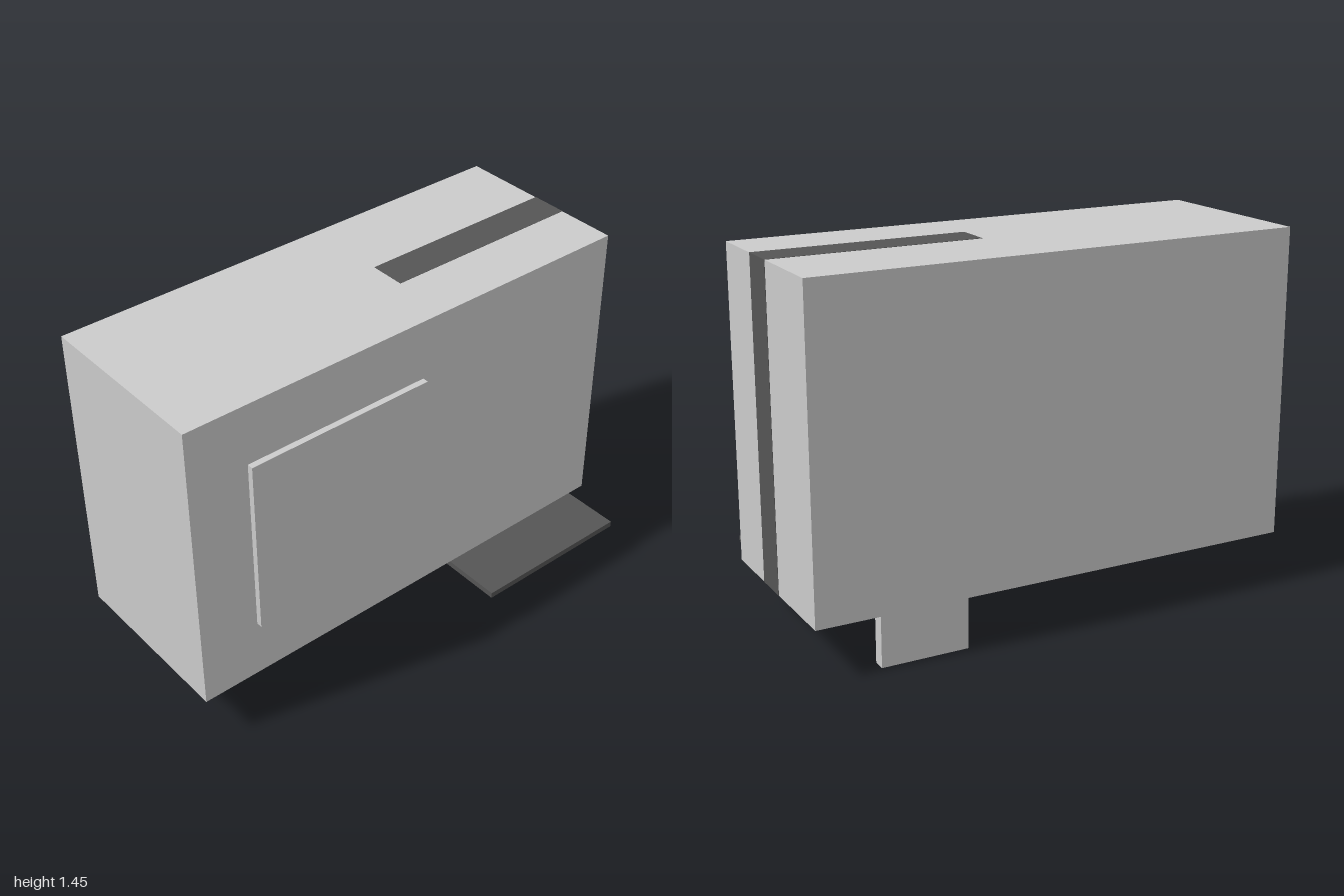
import * as THREE from 'three';

const grey = new THREE.MeshStandardMaterial({ color: 0xcccccc });
const dark = new THREE.MeshStandardMaterial({ color: 0x555555 });
const blue = new THREE.MeshStandardMaterial({ color: 0x1199ee });

// Box given by its min and max on each axis
function box(name, [x0, x1], [y0, y1], [z0, z1], material = grey) {
  const mesh = new THREE.Mesh(new THREE.BoxGeometry(x1 - x0, y1 - y0, z1 - z0), material);
  mesh.position.set((x0 + x1) / 2, (y0 + y1) / 2, (z0 + z1) / 2);
  mesh.name = name;
  return mesh;
}

const points = (list) => list.map(([x, y]) => new THREE.Vector2(x, y));

// Extrudes a floor-plan shape (x, z) downwards from the height top
function slab(name, shape, top, depth, material, turn = 0) {
  const geometry = new THREE.ExtrudeGeometry(shape, { depth, bevelEnabled: false });
  geometry.rotateZ(turn).rotateX(Math.PI / 2);
  const mesh = new THREE.Mesh(geometry, material);
  mesh.position.y = top;
  mesh.name = name;
  return mesh;
}

export function createModel() {
  const model = new THREE.Group();
  model.name = 'machine';

  // Housing with a deep compartment open to the underside
  const plan = new THREE.Shape(points([[-1, -0.5], [1, -0.5], [1, 0.25], [-1, 0.25]]));
  plan.holes.push(new THREE.Path(points([[-0.85, -0.475], [-0.85, 0], [0.15, 0], [0.15, -0.475]])));
  const housing = new THREE.Group();
  housing.name = 'housing';
  housing.add(
    slab('housingWalls', plan, 1.3, 1.1, grey),
    box('housingTop', [-1, 1], [1.3, 1.45], [-0.5, 0.25]),
  );
  model.add(housing);

  // Raised panel on the front
  model.add(box('frontPanel', [-0.75, 0.05], [0.45, 1.2], [0.25, 0.275]));

  // Dark slot running over the top and down the side
  model.add(
    box('topSlot', [0.15, 1.001], [1.44, 1.451], [-0.15, 0], dark),
    box('sideSlot', [0.99, 1.001], [0.2, 1.451], [-0.15, 0], dark),
  );

  // Two plates hanging below, with the dark outlet between them
  model.add(
    box('backPlate', [0.4, 0.75], [0, 0.2], [-0.5, -0.45]),
    box('middlePlate', [0.4, 0.75], [0, 0.2], [-0.025, 0]),
    box('outlet', [0.45, 0.7], [0.199, 0.21], [-0.45, -0.025], dark),
  );

  // Tray under the front edge
  model.add(box('tray', [0.225, 0.92], [0.175, 0.2], [0.15, 0.5], dark));

  // Open-ended spanner under the tray: one half of the outline, then mirrored
  const half = [
    [-0.34, 0.035], [-0.075, 0.035], [-0.04, 0.07], [0.025, 0.08], [0.08, 0.05],
    [0.07, 0.038], [0.02, 0.042], [-0.015, 0.025],
  ];
  const mirrored = half.map(([u, v]) => [u, -v]).reverse();
  const spanner = slab('spanner', new THREE.Shape(points([...half, ...mirrored])), 0.175, 0.025, blue, Math.PI / 6);
  spanner.position.x = 0.69;
  spanner.position.z = 0.39;
  model.add(spanner);

  return model;
}
